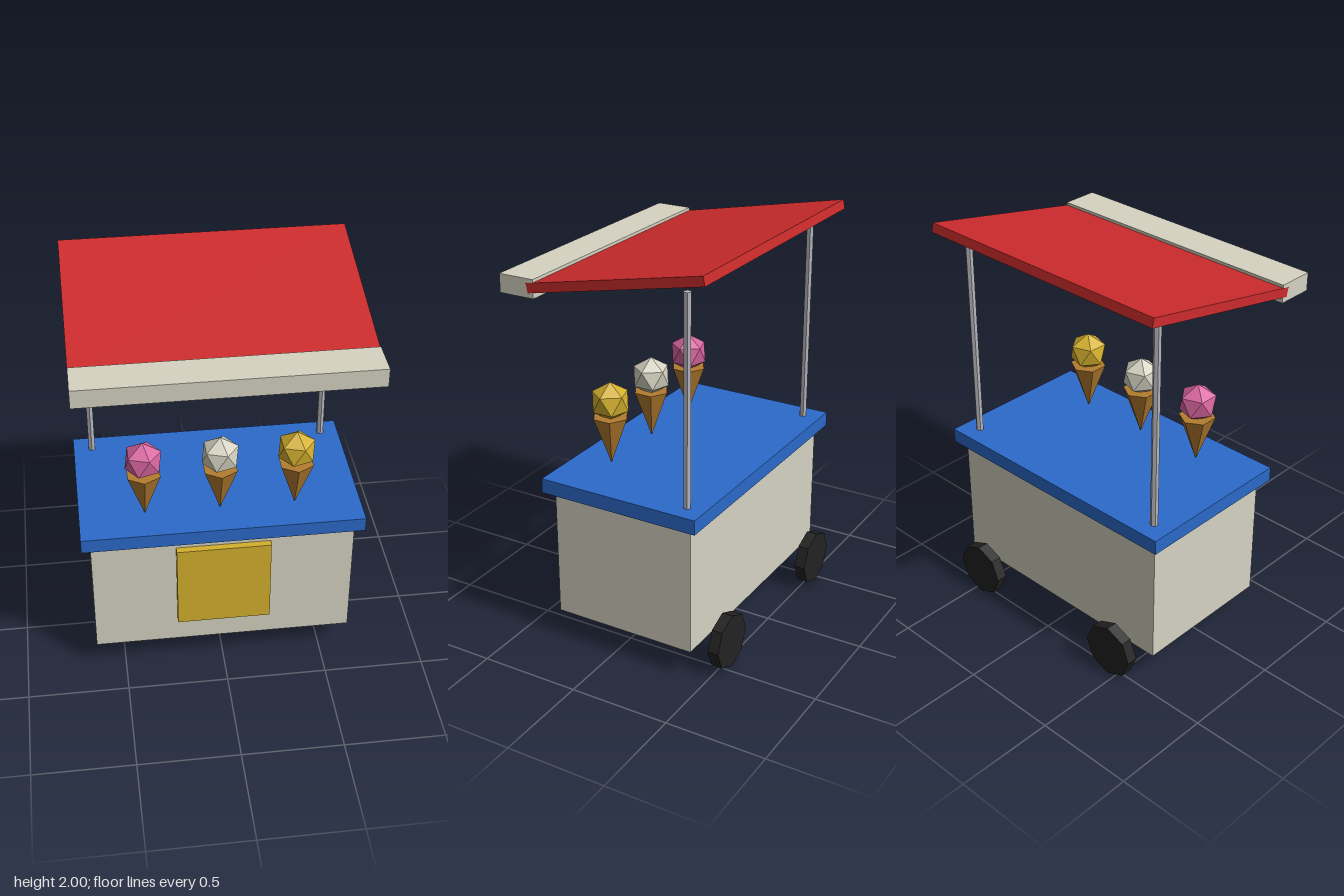
import * as THREE from 'three';

const mat = (name, color) => {
  const m = new THREE.MeshStandardMaterial({ color, flatShading: true });
  m.name = name;
  return m;
};

export function createModel() {
  const cream = mat('cream', 0xd6d3c2);
  const red = mat('red', 0xcc2b2c);
  const blue = mat('blue', 0x2b6aca);
  const yellow = mat('yellow', 0xd4b02e);
  const pink = mat('pink', 0xd8669f);
  const waffle = mat('waffle brown', 0xb47c30);
  const steel = mat('steel grey', 0xb6b6be);
  const rubber = mat('rubber black', 0x222222);

  const cart = new THREE.Group();
  cart.name = 'iceCreamCart';

  const add = (name, geometry, material, x, y, z, parent = cart) => {
    const mesh = new THREE.Mesh(geometry, material);
    mesh.name = name;
    mesh.position.set(x, y, z);
    parent.add(mesh);
    return mesh;
  };
  // Box given by its width and its y and z ranges, centred on x
  const addBox = (name, material, width, y0, y1, z0, z1) =>
    add(name, new THREE.BoxGeometry(width, y1 - y0, z1 - z0), material,
      0, (y0 + y1) / 2, (z0 + z1) / 2);

  // Cart body, serving panel and counter
  addBox('body', cream, 1.286, 0.14, 0.785, -0.42, 0.315);
  addBox('frontPanel', yellow, 0.462, 0.28, 0.738, 0.31, 0.35);
  addBox('counter', blue, 1.374, 0.792, 0.865, -0.465, 0.36);

  // Sloping roof with a valance along its low front edge
  const roof = add('roof', new THREE.BoxGeometry(1.376, 0.046, 0.917), red, 0, 1.886, -0.056);
  roof.rotation.x = 0.2;
  addBox('valance', cream, 1.374, 1.75, 1.84, 0.36, 0.542);

  // Rear posts and wheels, mirrored
  const postGeometry = new THREE.CylinderGeometry(0.0185, 0.0185, 1.105, 6);
  const wheelGeometry = new THREE.CylinderGeometry(0.138, 0.138, 0.055, 8).rotateX(Math.PI / 2);
  for (const [side, s] of [['left', 1], ['right', -1]]) {
    add(side + 'Post', postGeometry, steel, s * 0.594, 1.3325, -0.373);
    add(side + 'Wheel', wheelGeometry, rubber, s * 0.459, 0.138, -0.5135);
  }

  // Three ice creams: six-sided cone, icosahedral scoop standing on a corner
  const coneGeometry = new THREE.ConeGeometry(0.09, 0.245, 6).rotateX(Math.PI);
  const scoopGeometry = new THREE.IcosahedronGeometry(0.098, 0)
    .rotateZ(-Math.atan2(2, 1 + Math.sqrt(5)));
  [['pink', pink], ['cream', cream], ['yellow', yellow]].forEach(([flavour, material], i) => {
    const iceCream = new THREE.Group();
    iceCream.name = flavour + 'IceCream';
    iceCream.position.set((i - 1) * 0.367, 0, 0.178);
    add('cone', coneGeometry, waffle, 0, 0.9825, 0, iceCream);
    add('scoop', scoopGeometry, material, 0, 1.18, 0, iceCream);
    cart.add(iceCream);
  });

  return cart;
}
